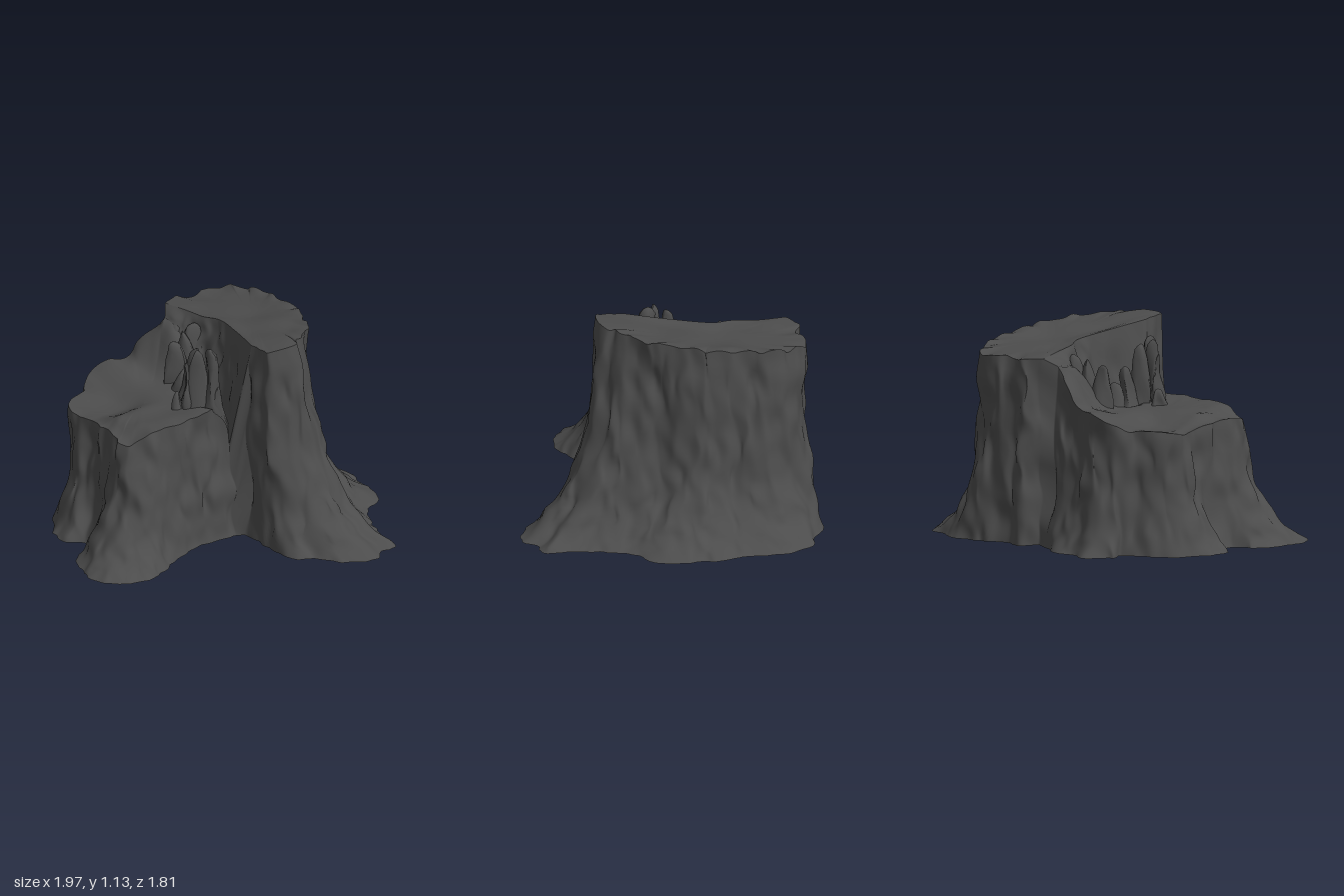
import * as THREE from 'three';

const V = (x, y, z) => new THREE.Vector3(x, y, z);
const { lerp, smoothstep: smooth } = THREE.MathUtils;
const material = new THREE.MeshStandardMaterial({ color: 0x4c4c4c, side: THREE.DoubleSide });

// Each row pairs a root point with a rim point: root x, root z, rim x, rim z
const tallSide = [
  [.01, .21, .02, .2], [0, .4, .02, .3], [-.01, .58, .04, .36], [.1, .69, .1, .38],
  [.18, .82, .16, .38], [.32, .9, .22, .36], [.42, .83, .27, .33], [.51, .86, .32, .29],
  [.54, .7, .37, .24], [.62, .52, .43, .17], [.7, .41, .48, .1], [.86, .31, .54, .03],
  [.9, .15, .58, -.04], [.93, 0, .6, -.12], [.95, -.15, .62, -.22], [.98, -.35, .64, -.36],
  [.94, -.53, .64, -.47], [.84, -.58, .61, -.56], [.75, -.67, .56, -.64], [.6, -.7, .48, -.66],
  [.4, -.67, .36, -.67], [.3, -.73, .29, -.7], [.22, -.67, .2, -.65],
];
const lowSide = [
  [.14, -.72, .15, -.61], [.02, -.84, .06, -.64], [-.08, -.86, -.06, -.7], [-.2, -.9, -.16, -.73],
  [-.3, -.83, -.26, -.74], [-.33, -.73, -.34, -.7], [-.5, -.69, -.45, -.65], [-.66, -.6, -.54, -.59],
  [-.75, -.48, -.57, -.5], [-.78, -.38, -.57, -.4], [-.7, -.3, -.58, -.32], [-.74, -.23, -.61, -.25],
  [-.85, -.2, -.63, -.18], [-.95, -.05, -.66, -.1], [-.99, .1, -.66, -.04], [-.93, .22, -.63, .02],
  [-.8, .29, -.55, .06], [-.66, .27, -.47, .07], [-.52, .22, -.4, .07], [-.38, .17, -.3, .08],
  [-.25, .15, -.2, .09], [-.12, .16, -.1, .1], [-.03, .18, -.04, .12],
];

// Heights of the two broken tops; the low one sinks into a cleft in front and rises behind
const tallTop = (x, z) => 1.08 + .115 * z;
const lowTop = (x, z) => .755 + .06 * x - .05 * smooth(-x, .5, .66)
  - .26 * smooth(x, -.13, -.02) * smooth(z, -.3, -.05)
  + .2 * smooth(x, -.08, .15) * smooth(-z, .25, .5)
  - .06 * smooth(-x, .15, .35) * smooth(-z, .2, .4);

// Smooth value noise in the range -1 to 1
function hash(x, y, z) {
  const s = Math.sin(x * 127.1 + y * 311.7 + z * 74.7) * 43758.5453;
  return (s - Math.floor(s)) * 2 - 1;
}
function noise(x, y, z) {
  const c = [x, y, z].map(Math.floor);
  const f = [x - c[0], y - c[1], z - c[2]].map(t => t * t * (3 - 2 * t));
  let sum = 0;
  for (let k = 0; k < 8; k++) {
    const o = [k & 1, (k >> 1) & 1, k >> 2];
    const w = o.reduce((p, b, i) => p * (b ? f[i] : 1 - f[i]), 1);
    sum += w * hash(c[0] + o[0], c[1] + o[1], c[2] + o[2]);
  }
  return sum;
}

// Pushes a point sideways to give bark: long vertical ribs and smaller knots
function roughen(p, amount = 1) {
  const n = k => .022 * noise(p.x * 10 + k, p.y * 3.5, p.z * 10 + k)
    + .018 * noise(p.x * 20 + k, p.y * 8, p.z * 20 - k);
  const dx = n(11) * amount, dz = n(47) * amount;
  p.x += dx;
  p.z += dz;
  return p;
}

// Surface through rows of points
function skin(name, rows, closed) {
  const n = rows[0].length, index = [];
  for (let i = 0; i < rows.length - 1; i++) {
    for (let j = 0; j < (closed ? n : n - 1); j++) {
      const a = i * n + j, b = i * n + (j + 1) % n;
      index.push(a, b, a + n, b, b + n, a + n);
    }
  }
  const geometry = new THREE.BufferGeometry().setFromPoints(rows.flat());
  geometry.setIndex(index);
  geometry.computeVertexNormals();
  const mesh = new THREE.Mesh(geometry, material);
  mesh.name = name;
  return mesh;
}

// Upright profiles of one side: a steady lean (strongest on the front root) plus a quick flare
function barkColumns(side, top, count, levels) {
  const root = new THREE.CatmullRomCurve3(side.map(r => V(r[0], 0, r[1])));
  const rim = new THREE.CatmullRomCurve3(side.map(r => V(r[2], top(r[2], r[3]), r[3])));
  return Array.from({ length: count + 1 }, (_, j) => {
    const a = root.getPoint(j / count), b = rim.getPoint(j / count);
    b.y += .012 * noise(b.x * 14, 5, b.z * 14);
    const steady = lerp(.2, .38, smooth(a.z, .35, .7));
    return Array.from({ length: levels + 1 }, (_, i) => {
      const y = b.y * (i / levels) ** 1.3;
      const lean = 1 - y / b.y;
      const flare = steady * lean + (1 - steady) * Math.exp(-y / .17) * Math.min(1, lean * 4);
      return roughen(V(lerp(b.x, a.x, flare), y, lerp(b.z, a.z, flare)), .7 + .3 * Math.min(1, y / .2));
    });
  });
}

// Broken top: rings shrinking to a centre, following the height rule with a shallow dish
function stumpTop(name, edge, x, z, top, dish) {
  const centre = V(x, 0, z), rings = [];
  for (let i = 0; i <= 14; i++) {
    const t = i / 14, inside = Math.min(1, t * 4);
    rings.push(edge.map(p => {
      const q = p.clone().lerp(centre, t);
      q.y = lerp(p.y, top(q.x, q.z) + .015 * noise(q.x * 5, 3, q.z * 5), inside) - dish * smooth(t, 0, .6);
      return q;
    }));
  }
  return skin(name, rings, true);
}

// Torn wood spike, broad and ragged at the foot
function splinter(x, z, radius, top, bottom) {
  const h = top - bottom;
  const profile = [[1.7, 0], [1.5, .2], [1.3, .4], [1.1, .6], [.85, .8], [.6, .93], [.3, .98], [0, 1]]
    .map(([r, y]) => new THREE.Vector2(r * radius, y * h));
  const geometry = new THREE.LatheGeometry(profile, 12);
  geometry.translate(x, bottom, z);
  const pos = geometry.attributes.position;
  for (let i = 0; i < pos.count; i++) {
    const p = roughen(V(pos.getX(i), pos.getY(i), pos.getZ(i)), 1.5);
    pos.setXYZ(i, p.x, p.y, p.z);
  }
  geometry.computeVertexNormals();
  const mesh = new THREE.Mesh(geometry, material);
  mesh.name = 'splinter';
  return mesh;
}

export function createModel() {
  const stump = new THREE.Group();
  stump.name = 'treeStump';

  // Bark wall all the way round, open underneath
  const levels = 36;
  const tall = barkColumns(tallSide, tallTop, 220, levels);
  const low = barkColumns(lowSide, lowTop, 220, levels);
  const columns = [...tall, ...low];
  const rows = Array.from({ length: levels + 1 }, (_, i) => columns.map(c => c[i]));
  stump.add(skin('barkWall', rows, true));

  // Torn face between the two tops, running from back to front
  const tallRim = tall.map(c => c[levels]), lowRim = low.map(c => c[levels]);
  const seam = (from, points, top, to) => new THREE.CatmullRomCurve3(
    [from, ...points.map(([x, z]) => V(x, top(x, z), z)), to]).getPoints(60);
  const upper = seam(tallRim.at(-1), [[.2, -.5], [.19, -.35], [.21, -.25], [.14, -.03]], tallTop, tallRim[0]);
  const lower = seam(lowRim[0], [[.12, -.5], [.12, -.35], [.13, -.25], [.06, -.03]], lowTop, lowRim.at(-1));
  const tornRows = Array.from({ length: 17 }, (_, i) => lower.map((p, j) =>
    roughen(p.clone().lerp(upper[j], i / 16), 1.6 * Math.sin(Math.PI * i / 16) * Math.sin(Math.PI * j / 60))));
  stump.add(skin('tornFace', tornRows, false));

  // Broken tops
  stump.add(stumpTop('tallTop', [...tallRim, ...upper.slice(1, -1)], .38, -.18, tallTop, .01));
  stump.add(stumpTop('lowTop', [...lowRim, ...lower.slice(1, -1).reverse()], -.28, -.3, lowTop, .03));

  // Splinters standing along the tear
  const splinters = new THREE.Group();
  splinters.name = 'splinters';
  for (const s of [
    [-.09, .03, .04, 1.06, .55], [-.14, -.03, .035, 1.05, .64], [-.18, -.05, .022, .98, .7],
    [-.06, .06, .03, .85, .46], [-.09, -.1, .04, 1.03, .62], [-.07, -.19, .035, .92, .66],
    [-.03, -.28, .03, .84, .66], [0, -.38, .035, .95, .7], [.08, -.37, .04, .98, .72],
    [.15, -.39, .045, 1, .74], [-.22, -.1, .025, .8, .7], [.14, -.52, .05, .96, .8],
  ]) splinters.add(splinter(...s));
  stump.add(splinters);
  return stump;
}
